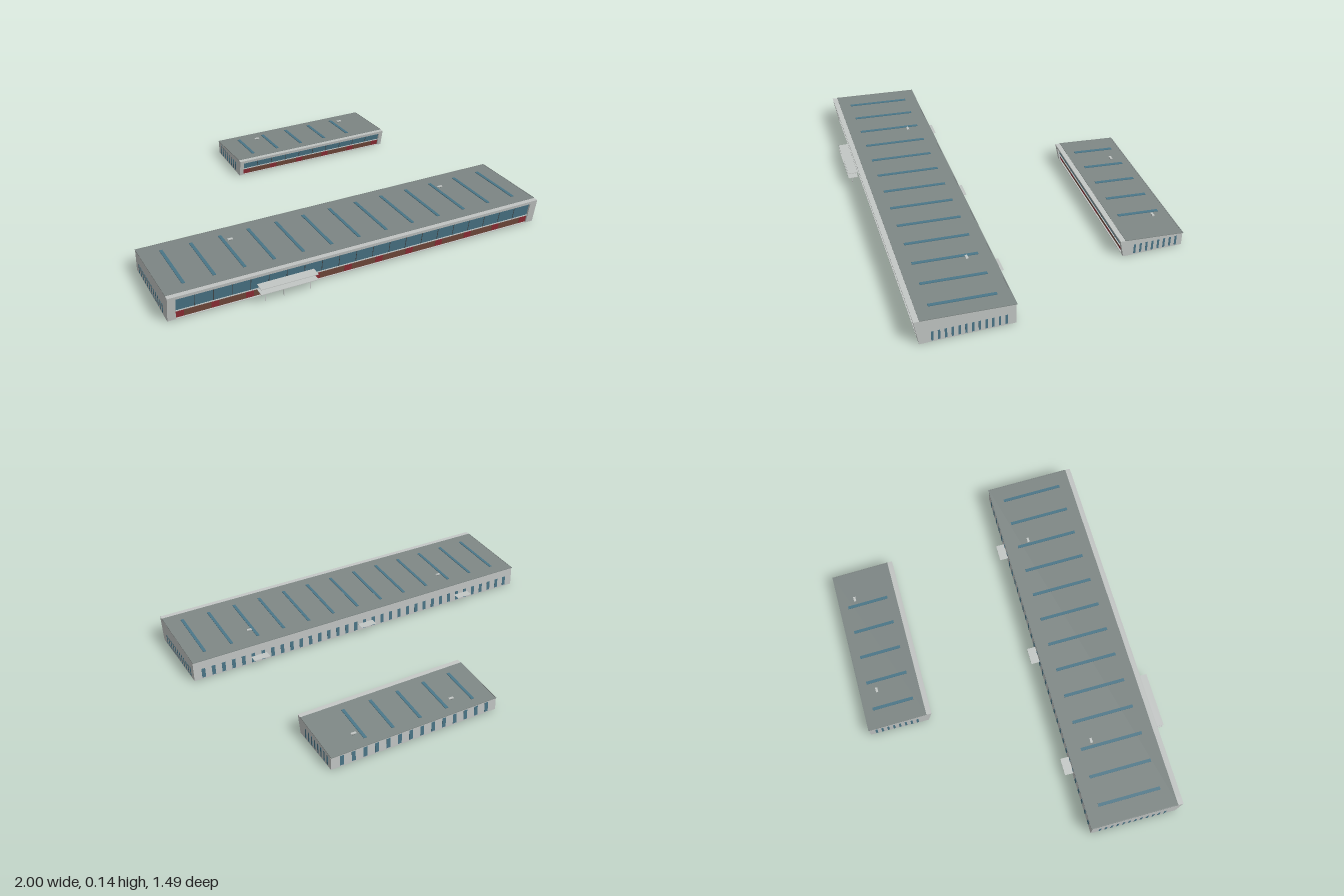
import * as THREE from 'three';

const mat = (name, color) => {
  const m = new THREE.MeshStandardMaterial({ color });
  m.name = name;
  return m;
};

export function createModel() {
  const root = new THREE.Group();
  const M = {
    wall: mat('wall grey', 0xc2c6c4),
    roof: mat('roof grey', 0x7e8785),
    glass: mat('teal glass', 0x4a7688),
    brick: mat('brown brick', 0x744b3c),
    red: mat('red panel', 0x922d36),
    dark: mat('dark trim', 0x43494a),
  };

  // Prism from x0 to x1 with a cross-section of [z, y] points
  function prism(parent, name, material, x0, x1, pts) {
    const shape = new THREE.Shape(pts.map(([z, y]) => new THREE.Vector2(z, y)));
    const geo = new THREE.ExtrudeGeometry(shape, { depth: x1 - x0, bevelEnabled: false });
    geo.rotateY(-Math.PI / 2);
    const mesh = new THREE.Mesh(geo, material);
    mesh.position.x = x1;
    mesh.name = name;
    parent.add(mesh);
  }
  function box(parent, name, material, w, h, d, x, y, z) {
    const mesh = new THREE.Mesh(new THREE.BoxGeometry(w, h, d), material);
    mesh.position.set(x, y, z);
    mesh.name = name;
    parent.add(mesh);
  }

  // A long hall with a leaning glazed front and a roof falling to the back
  function hall(o) {
    const g = new THREE.Group();
    g.name = o.name;
    root.add(g);
    const { x0, x1, zBack, zBase, zTop, hFront, hBack, fin } = o;
    const roofY = z => hBack + (hFront - hBack) * (z - zBack) / (zTop - zBack);
    const frontZ = y => zBase + (zTop - zBase) * y / hFront;
    const inset = 0.012;
    const a = x0 + fin, b = x1 - fin;
    const yGlass = hFront - 0.016;

    // End walls, body, fascia
    const profile = [[zBack, 0.003], [zBase, 0.003], [zTop, hFront], [zBack, hBack]];
    prism(g, 'endWallRight', M.wall, x0, a, profile);
    prism(g, 'endWallLeft', M.wall, b, x1, profile);
    const zi = frontZ(yGlass) - inset;
    prism(g, 'body', M.wall, a, b, [[zBack, 0.003], [zBase - inset, 0.003],
      [zi, yGlass], [zi, roofY(zi)], [zBack, hBack]]);
    prism(g, 'fascia', M.wall, a, b, [[zi - 0.005, yGlass], [frontZ(yGlass), yGlass],
      [zTop, hFront], [zi - 0.005, roofY(zi - 0.005)]]);
    box(g, 'floorSlab', M.wall, x1 - x0, 0.003, zBase - zBack, (x0 + x1) / 2, 0.0015, (zBase + zBack) / 2);

    // Roof sheet with a thin rim at the back and sides
    const sheet = (name, m, xa, xb, za, zb, lift) => prism(g, name, m, xa, xb,
      [[za, roofY(za)], [zb, roofY(zb)], [zb, roofY(zb) + lift], [za, roofY(za) + lift]]);
    sheet('roofSheet', M.roof, x0 + 0.004, x1 - 0.004, zBack, zTop - 0.027, 0.002);
    sheet('backRim', M.roof, x0, x1, zBack - 0.005, zBack, 0.003);
    sheet('sideRim', M.roof, x0, x0 + 0.004, zBack, zTop - 0.027, 0.003);
    sheet('sideRim', M.roof, x1 - 0.004, x1, zBack, zTop - 0.027, 0.003);

    // Sloped plates lying on the recessed front
    const front = (name, m, xa, xb, ya, yb, out) => prism(g, name, m, xa, xb,
      [[frontZ(ya) - inset, ya], [frontZ(ya) - inset + out, ya],
        [frontZ(yb) - inset + out, yb], [frontZ(yb) - inset, yb]]);
    front('frontGlass', M.glass, a, b, o.sill, yGlass, 0.003);
    front('frontBrick', M.brick, a, b, 0.003, o.sill - 0.004, 0.004);
    front('sillLedge', M.wall, a, b, o.sill - 0.004, o.sill, 0.008);
    const bays = Math.round((b - a) / 0.09);
    for (let i = 1; i < bays; i++) {
      const x = a + (b - a) * i / bays;
      front('mullion', M.dark, x - 0.0015, x + 0.0015, o.sill, yGlass, 0.004);
    }
    const panels = Math.round((b - a) / 0.17);
    for (let i = 0; i <= panels; i++) {
      const x = a + 0.022 + (b - a - 0.044) * i / panels;
      front('redPanel', M.red, x - 0.02, x + 0.02, 0.005, o.sill - 0.006, 0.005);
    }

    // Tall narrow windows on the ends and the back
    for (let i = 0; i < o.sideCount; i++) {
      const z = o.sideStart - i * 0.0315;
      for (const x of [x0, x1]) box(g, 'endWindow', M.glass, 0.002, 0.054, 0.011, x, 0.034, z);
    }
    const n = Math.round((x1 - x0 - 0.05) / o.backPitch);
    for (let i = 0; i < n; i++) {
      const x = x0 + 0.025 + (x1 - x0 - 0.05) * (i + 0.5) / n;
      box(g, 'backWindow', M.glass, 0.02, 0.054, 0.002, x, 0.034, zBack);
    }

    // Roof skylight strips and small vents
    for (let i = 0; i < o.skyCount; i++) {
      const x = o.skyStart + i * 0.1497;
      sheet('skylight', M.glass, x - 0.008, x + 0.008, o.skyZ[0], o.skyZ[1], 0.005);
    }
    for (const x of o.vents) {
      box(g, 'ventNeck', M.roof, 0.012, 0.008, 0.008, x, roofY(o.ventZ) + 0.004, o.ventZ);
      box(g, 'ventCap', M.wall, 0.026, 0.004, 0.012, x, roofY(o.ventZ) + 0.01, o.ventZ);
    }
    return g;
  }

  const main = hall({
    name: 'mainHall', x0: -0.998, x1: 0.998, zBack: 0.225, zBase: 0.68, zTop: 0.7,
    hFront: 0.136, hBack: 0.11, fin: 0.04, sill: 0.048, backPitch: 0.056,
    sideCount: 12, sideStart: 0.618, skyCount: 13, skyStart: -0.89, skyZ: [0.287, 0.612],
    vents: [-0.56, 0.63], ventZ: 0.35,
  });
  hall({
    name: 'smallHall', x0: -0.195, x1: 0.715, zBack: -0.742, zBase: -0.427, zTop: -0.407,
    hFront: 0.096, hBack: 0.07, fin: 0.022, sill: 0.04, backPitch: 0.062,
    sideCount: 8, sideStart: -0.486, skyCount: 5, skyStart: -0.086, skyZ: [-0.70, -0.48],
    vents: [0.01, 0.55], ventZ: -0.655,
  });

  // Front entrance canopy: two thin plates on slim posts
  const canopy = new THREE.Group();
  canopy.name = 'frontCanopy';
  main.add(canopy);
  for (const y of [0.054, 0.083]) box(canopy, 'canopyPlate', M.wall, 0.29, 0.003, 0.05, -0.423, y, 0.722);
  for (const x of [-0.54, -0.445, -0.31]) {
    box(canopy, 'canopyPost', M.wall, 0.003, 0.053, 0.003, x, 0.0265, 0.725);
    box(canopy, 'canopyStrut', M.wall, 0.003, 0.028, 0.003, x, 0.069, 0.706);
  }

  // Rear door canopies
  for (const x of [-0.638, -0.005, 0.635]) {
    box(main, 'rearCanopy', M.wall, 0.09, 0.001, 0.045, x, 0.042, 0.2025);
  }

  return root;
}
